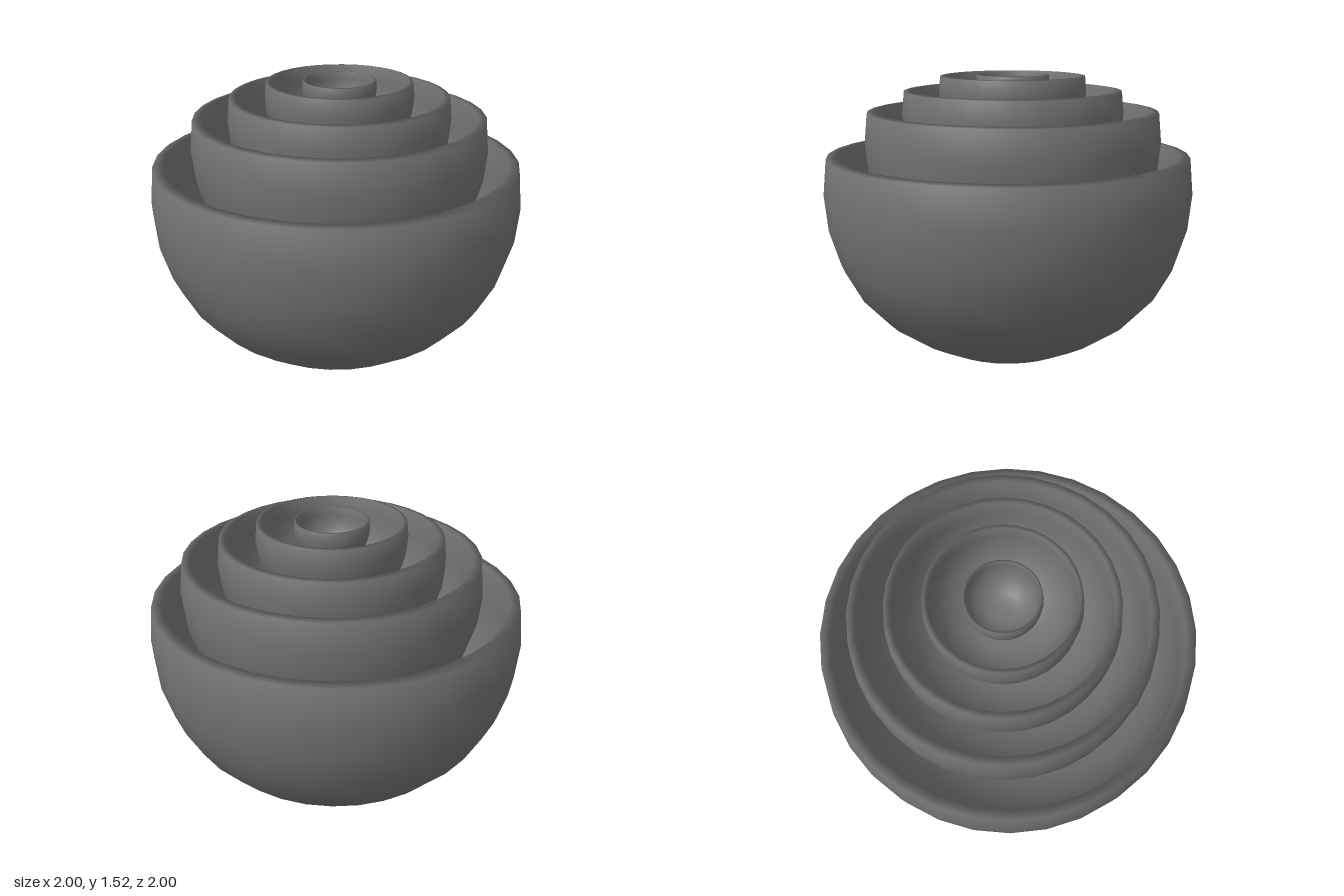
import * as THREE from 'three';

// Unit bowl half-profile [radius, height], measured from the widest level:
// up the outside, over the soft lip, and down the inside
const PROFILE = [
  [0, -0.895], [0.195, -0.88], [0.383, -0.878], [0.556, -0.79], [0.7, -0.69],
  [0.831, -0.55], [0.924, -0.38], [0.981, -0.195], [1, 0], [0.981, 0.195],
  [0.928, 0.203], [0.926, 0], [0.908, -0.18], [0.856, -0.355], [0.77, -0.51],
  [0.65, -0.64], [0.515, -0.735], [0.355, -0.81], [0.18, -0.815], [0, -0.825],
];

const material = new THREE.MeshStandardMaterial({ color: 0x727272 });

// One smooth bowl turned from the shared profile
function makeBowl(name, size, y, z) {
  const points = PROFILE.map(([r, h]) => new THREE.Vector2(r * size, h * size));
  const bowl = new THREE.Mesh(new THREE.LatheGeometry(points, 32), material);
  bowl.name = name;
  bowl.position.set(0, y, z);
  return bowl;
}

export function createModel() {
  const model = new THREE.Group();
  model.name = 'nestingBowls';

  // Five nested bowls, each smaller one standing a little higher
  const bowls = [
    ['largestBowl', 1, 0.897, 0],
    ['largeBowl', 0.797, 1.173, -0.03],
    ['mediumBowl', 0.596, 1.32, -0.03],
    ['smallBowl', 0.396, 1.437, -0.03],
    ['smallestBowl', 0.197, 1.482, -0.03],
  ];
  for (const spec of bowls) model.add(makeBowl(...spec));
  return model;
}
